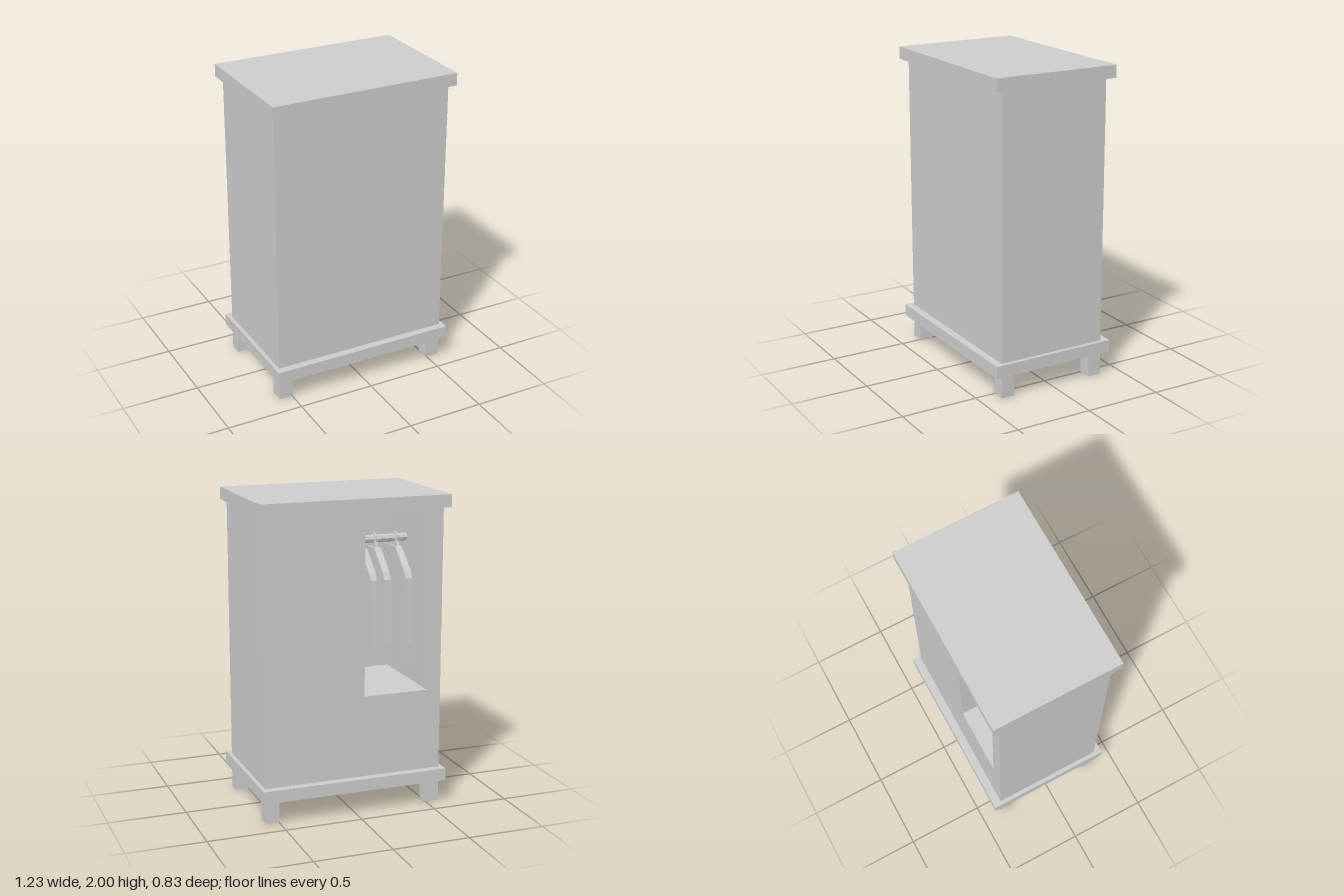
import * as THREE from 'three';

const material = new THREE.MeshStandardMaterial({ color: 0xcccccc, flatShading: true });

function add(parent, name, geometry, x = 0, y = 0, z = 0) {
  const mesh = new THREE.Mesh(geometry, material);
  mesh.name = name;
  mesh.position.set(x, y, z);
  parent.add(mesh);
  return mesh;
}

// Box given by its lower and upper corners
function block(parent, name, [x0, y0, z0], [x1, y1, z1]) {
  return add(parent, name, new THREE.BoxGeometry(x1 - x0, y1 - y0, z1 - z0),
    (x0 + x1) / 2, (y0 + y1) / 2, (z0 + z1) / 2);
}

function extrude(points, depth) {
  const shape = new THREE.Shape(points.map(([a, b]) => new THREE.Vector2(a, b)));
  return new THREE.ExtrudeGeometry(shape, { depth, bevelEnabled: false });
}

// Half outline (z, y) mirrored about z = 0 and extruded along x, centred
function sideProfile(half, thickness) {
  const mirrored = half.map(([z, y]) => [-z, y]).reverse();
  const geometry = extrude([...half, ...mirrored], thickness);
  geometry.translate(0, 0, -thickness / 2);
  geometry.rotateY(Math.PI / 2);
  return geometry;
}

export function createModel() {
  const model = new THREE.Group();
  model.name = 'wardrobe';

  const W = 0.587, ZF = 0.365, ZB = -0.362;     // cabinet sides, front and back
  const floorY = 0.755, topY = 1.92;            // compartment height
  const x0 = -0.495, x1 = -0.07, depthZ = 0.28; // compartment width and depth

  // Top and base boards
  block(model, 'topBoard', [-0.615, topY, -0.415], [0.615, 2, 0.415]);
  block(model, 'baseBoard', [-0.613, 0.15, -0.415], [0.613, 0.23, 0.415]);

  // Legs
  for (const sx of [-1, 1]) for (const sz of [-1, 1]) {
    add(model, sz > 0 ? 'frontLeg' : 'backLeg',
      new THREE.BoxGeometry(0.092, 0.15, 0.088), sx * 0.541, 0.075, sz * 0.32);
  }

  // Cabinet: solid below, with a compartment notched into the upper part
  block(model, 'lowerCabinet', [-W, 0.23, ZB], [W, floorY, ZF]);
  const plan = [[-W, -ZF], [W, -ZF], [W, -ZB], [x1, -ZB],
    [x1, -depthZ], [x0, -depthZ], [x0, -ZB], [-W, -ZB]];
  const upper = extrude(plan, topY - floorY);
  upper.rotateX(-Math.PI / 2);
  add(model, 'upperCabinet', upper, 0, floorY, 0);

  // Hanging rail
  const rail = new THREE.CylinderGeometry(0.025, 0.025, x1 - x0, 8);
  rail.rotateZ(Math.PI / 2);
  add(model, 'rail', rail, (x0 + x1) / 2, 1.68, 0);

  // Coats on hangers
  const coat = sideProfile([[-0.205, 0.9], [-0.205, 1.037], [-0.25, 1.037],
    [-0.227, 1.455], [-0.2, 1.5], [-0.055, 1.63]], 0.045);
  const neck = sideProfile([[-0.055, 1.62], [-0.012, 1.71]], 0.02);
  const hook = new THREE.TorusGeometry(0.034, 0.007, 6, 12, Math.PI * 1.4);
  hook.rotateZ(-Math.PI * 0.4);
  hook.rotateY(Math.PI / 2);
  for (const x of [-0.182, -0.275, -0.42]) {
    const garment = new THREE.Group();
    garment.name = 'hangingCoat';
    garment.position.x = x;
    add(garment, 'coat', coat);
    add(garment, 'hangerNeck', neck);
    add(garment, 'hangerHook', hook, 0, 1.68, 0);
    model.add(garment);
  }

  return model;
}
